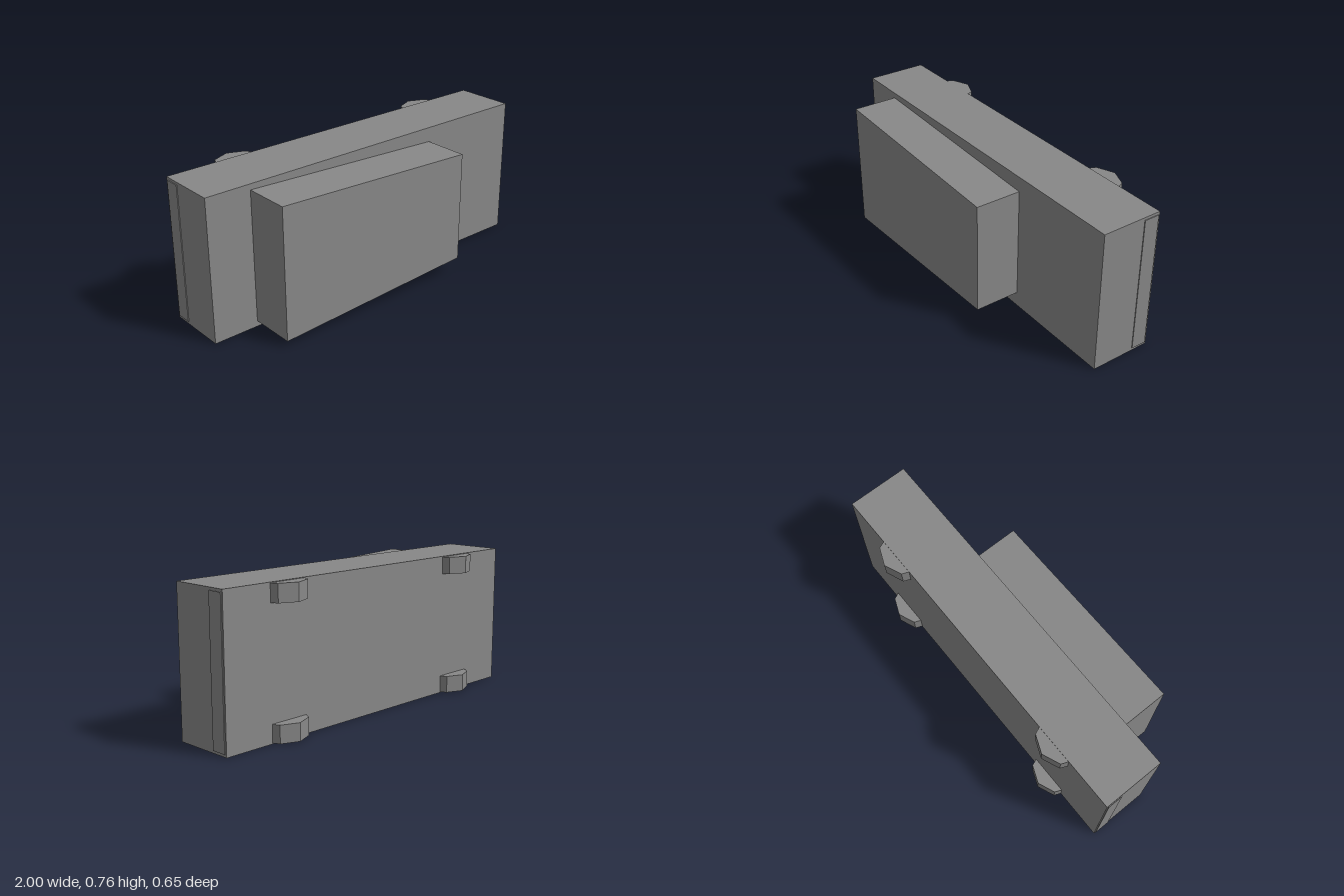
import * as THREE from 'three';

export function createModel() {
  const model = new THREE.Group();
  const material = new THREE.MeshStandardMaterial({ color: 0x888888, flatShading: true });

  const add = (name, geometry, x = 0, y = 0, z = 0) => {
    const mesh = new THREE.Mesh(geometry, material);
    mesh.name = name;
    mesh.position.set(x, y, z);
    model.add(mesh);
  };

  // Main body slab
  add('body', new THREE.BoxGeometry(1.992, 0.758, 0.327), 0, 0.379, -0.0855);

  // Cabin, narrowing towards +x
  const outline = new THREE.Shape([[-0.753, 0.03], [0.393, 0.08], [0.393, 0.679], [-0.753, 0.728]]
    .map(([x, y]) => new THREE.Vector2(x, y)));
  add('cabin', new THREE.ExtrudeGeometry(outline, { depth: 0.245, bevelEnabled: false }), 0, 0, 0.078);

  for (const side of [-1, 1]) {
    const label = side > 0 ? 'left' : 'right';
    // Thin bumper strips on both ends
    add(`${label}Bumper`, new THREE.BoxGeometry(0.02, 0.73, 0.082), side * 0.99, 0.379, -0.199);

    // Eight-sided wheels, half sunk into the body
    for (const [level, y] of [['Lower', 0.05], ['Upper', 0.709]]) {
      add(`${label}${level}Wheel`, new THREE.CylinderGeometry(0.13, 0.13, 0.091, 8), side * 0.617, y, -0.193);
    }
  }
  return model;
}
